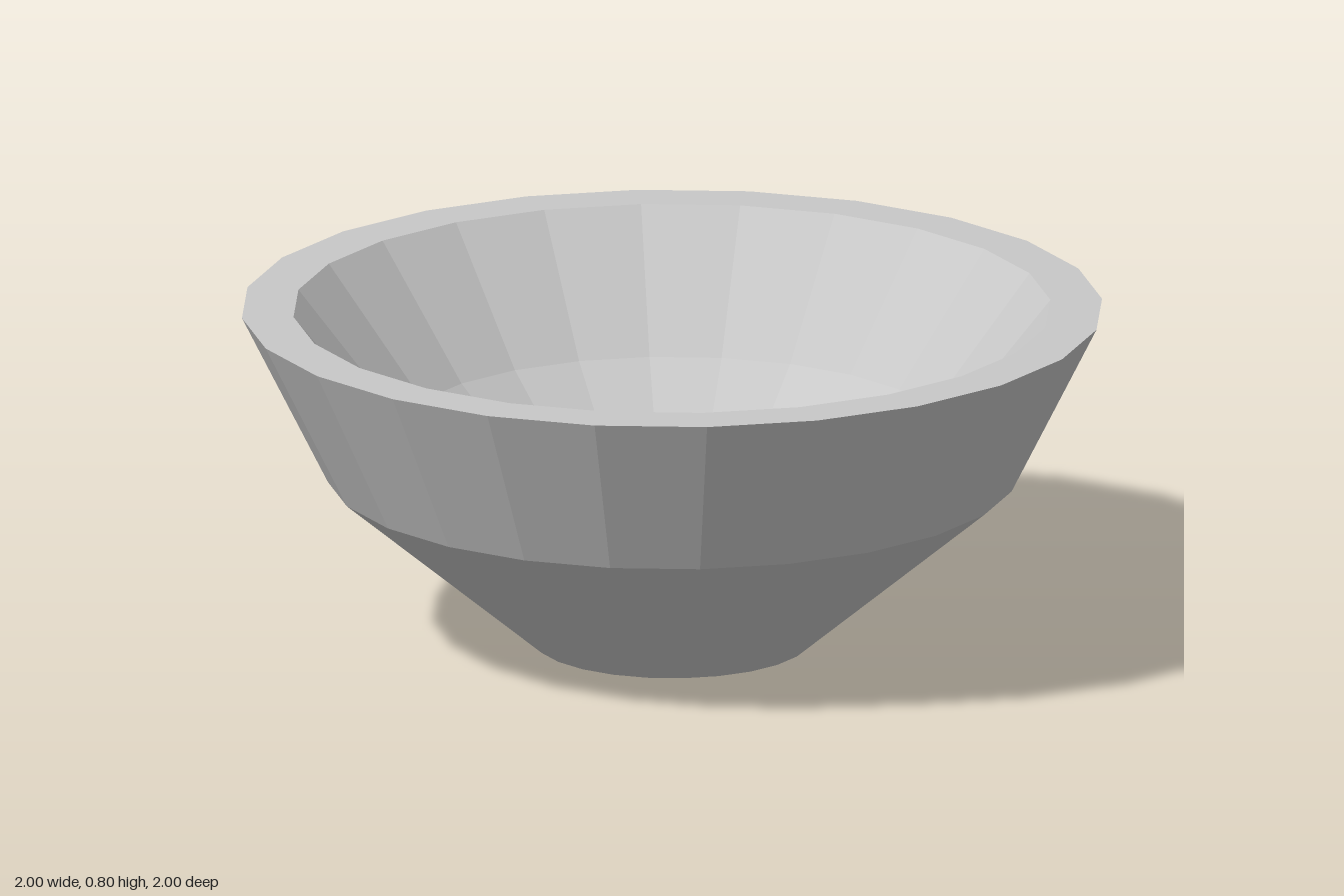
import * as THREE from 'three';

const SIDES = 24;

// Faceted ring surface swept from a [radius, height] profile
function facetedLathe(profile) {
  const points = profile.map(([r, y]) => new THREE.Vector2(r, y));
  const geometry = new THREE.LatheGeometry(points, SIDES).toNonIndexed();
  geometry.computeVertexNormals();
  return geometry;
}

// Flat disc closing the bowl at a given height, facing up or down
function disc(radius, y, facing) {
  const geometry = new THREE.CircleGeometry(radius, SIDES);
  geometry.rotateX(-facing * Math.PI / 2);
  geometry.translate(0, y, 0);
  return geometry;
}

export function createModel() {
  const model = new THREE.Group();
  model.name = 'bowl';
  const grey = new THREE.MeshStandardMaterial({ color: 0xc8c8c8 });
  grey.name = 'light grey';

  const add = (name, geometry) => {
    const mesh = new THREE.Mesh(geometry, grey);
    mesh.name = name;
    model.add(mesh);
  };

  // Outside: narrow foot, flared lower wall, steeper upper wall
  add('outerWall', facetedLathe([[0.32, 0], [0.8, 0.4], [1, 0.8]]));
  // Flat rim
  add('rim', facetedLathe([[1, 0.8], [0.88, 0.8]]));
  // Inside, from the rim down to the floor
  add('innerWall', facetedLathe([[0.88, 0.8], [0.64, 0.5], [0.2, 0.12]]));
  // Floor of the bowl and underside of the foot
  add('floor', disc(0.2, 0.12, 1));
  add('base', disc(0.32, 0, -1));

  return model;
}
